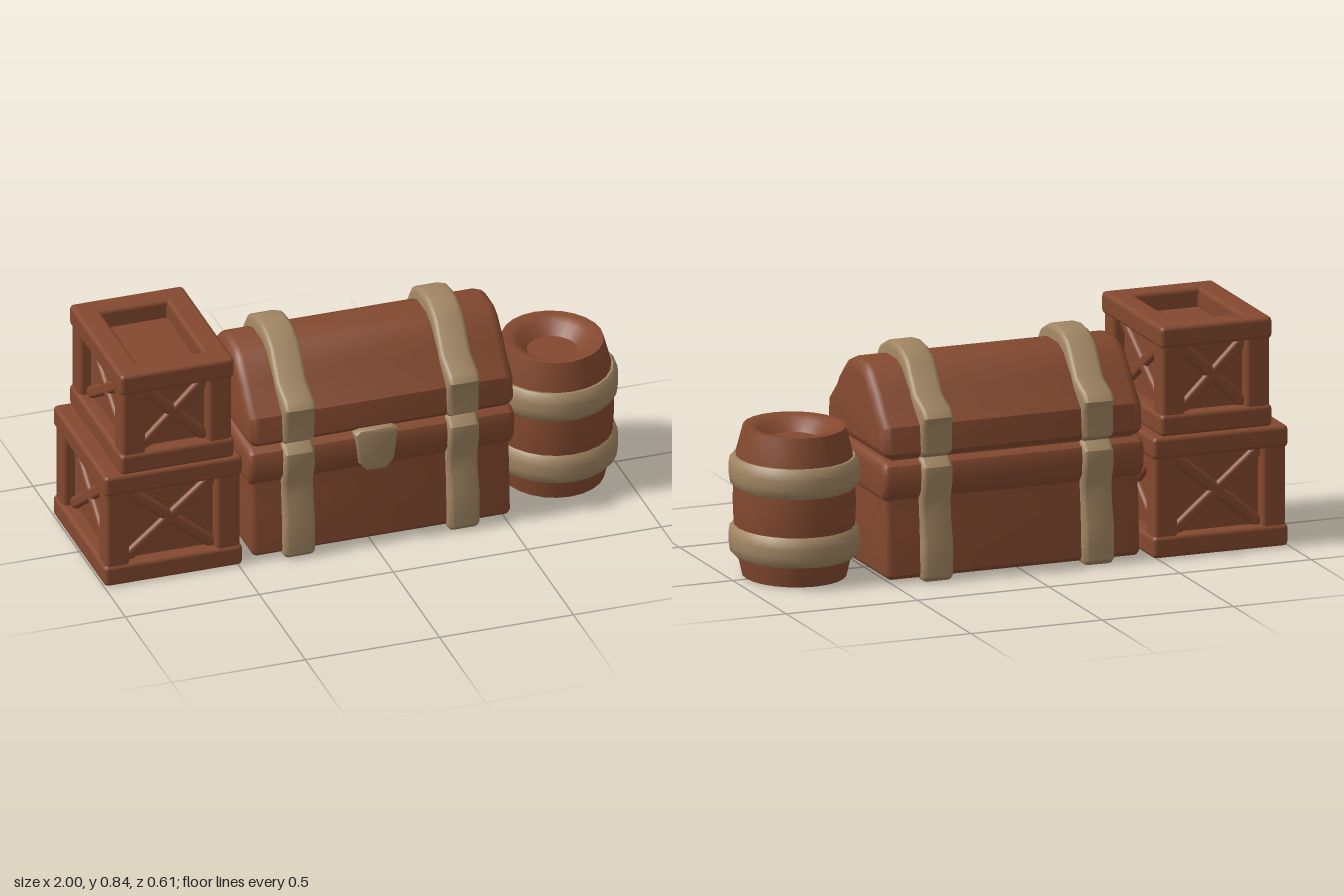
import * as THREE from 'three';
import { toCreasedNormals } from 'three/addons/utils/BufferGeometryUtils.js';
import { RoundedBoxGeometry } from 'three/addons/geometries/RoundedBoxGeometry.js';

const wood = new THREE.MeshStandardMaterial({ color: 0x84492f });
wood.name = 'reddish wood';
const band = new THREE.MeshStandardMaterial({ color: 0xa08562 });
band.name = 'tan band';

function add(parent, name, geometry, material, x = 0, y = 0, z = 0) {
  const mesh = new THREE.Mesh(geometry, material);
  mesh.name = name;
  mesh.position.set(x, y, z);
  parent.add(mesh);
  return mesh;
}

const rounded = (w, h, d, r = 0.016) => new RoundedBoxGeometry(w, h, d, 2, r);

// Sweeps a [z, y] outline along x from x0 to x1, with rounded end edges
function sweep(outline, x0, x1, bevel) {
  const shape = new THREE.Shape(outline.map(([z, y]) => new THREE.Vector2(-z, y)));
  const g = new THREE.ExtrudeGeometry(shape, {
    depth: x1 - x0 - 2 * bevel, bevelThickness: bevel, bevelSize: bevel,
    bevelOffset: -bevel, bevelSegments: 3, steps: 1,
  });
  g.translate(0, 0, x0 + bevel);
  g.rotateY(Math.PI / 2);
  return toCreasedNormals(g, 0.7);
}

// Closes a half outline (front, bottom to top) by mirroring it to the back
const mirrored = (half) => [...half, ...half.filter(([z]) => z > 0).reverse().map(([z, y]) => [-z, y])];

// Framed crate with recessed, cross-braced sides and sunken top and bottom
function makeCrate(name, w, h, d) {
  const crate = new THREE.Group();
  crate.name = name;
  const post = 0.09, rail = 0.08, inset = 0.05;
  add(crate, 'core', new THREE.BoxGeometry(w - 2 * inset, h - 0.14, d - 2 * inset), wood, 0, h / 2, 0);
  for (const sx of [-1, 1]) {
    for (const sz of [-1, 1]) {
      add(crate, 'post', rounded(post, h - 0.04, post), wood,
        sx * (w / 2 - 0.007 - post / 2), h / 2, sz * (d / 2 - 0.007 - post / 2));
    }
  }
  for (const y of [rail / 2, h - rail / 2]) {
    for (const s of [-1, 1]) {
      add(crate, 'longRail', rounded(post, rail, d), wood, s * (w - post) / 2, y, 0);
      add(crate, 'crossRail', rounded(w, rail, post), wood, 0, y, s * (d - post) / 2);
    }
  }
  // Diagonal braces on the four sides
  const brace = (length, angle, turn, x, z) => {
    const m = add(crate, 'brace', rounded(length, 0.045, 0.035, 0.014), wood, x, h / 2, z);
    m.rotation.set(0, turn, angle);
  };
  const ph = h - 2 * rail;
  for (const s of [-1, 1]) {
    for (const a of [-1, 1]) {
      const pw = w - 2 * post, pd = d - 2 * post;
      brace(Math.hypot(pw, ph), a * Math.atan2(ph, pw), 0, 0, s * (d / 2 - inset));
      brace(Math.hypot(pd, ph), a * Math.atan2(ph, pd), Math.PI / 2, s * (w / 2 - inset), 0);
    }
  }
  return crate;
}

function makeChest() {
  const chest = new THREE.Group();
  chest.name = 'chest';
  // Lower box and its thick rim
  add(chest, 'body', sweep(mirrored([[0.255, 0.015], [0.27, 0.03], [0.262, 0.2], [0.25, 0.32], [0.25, 0.38]]),
    -0.445, 0.52, 0.02), wood);
  add(chest, 'rim', sweep(mirrored([[0.25, 0.3], [0.275, 0.335], [0.28, 0.4], [0.27, 0.43], [0.24, 0.445]]),
    -0.46, 0.535, 0.025), wood);
  add(chest, 'seam', new THREE.BoxGeometry(0.92, 0.06, 0.48), wood, 0.037, 0.45, 0);
  // Faceted, domed lid
  add(chest, 'lid', sweep(mirrored([[0.255, 0.455], [0.275, 0.475], [0.265, 0.57], [0.19, 0.64],
    [0.17, 0.67], [0.1, 0.738], [0.05, 0.76]]), -0.457, 0.535, 0.035), wood);
  // Two straps, each with a lower and a lid half
  const lower = mirrored([[0.285, 0.003], [0.302, 0.02], [0.302, 0.15], [0.282, 0.23], [0.28, 0.3],
    [0.298, 0.36], [0.296, 0.42], [0.26, 0.452]]);
  const upper = mirrored([[0.26, 0.45], [0.291, 0.47], [0.294, 0.57], [0.307, 0.6], [0.285, 0.627],
    [0.2, 0.665], [0.125, 0.772], [0.06, 0.804], [0, 0.812]]);
  for (const x of [-0.335, 0.278]) {
    add(chest, 'lowerStrap', sweep(lower, x, x + 0.117, 0.018), band);
    add(chest, 'lidStrap', sweep(upper, x, x + 0.117, 0.018), band);
  }
  // Tapered clasp on the front
  const shape = new THREE.Shape([[-0.06, 0.465], [-0.08, 0.45], [-0.066, 0.335], [-0.035, 0.3],
    [0.035, 0.3], [0.066, 0.335], [0.08, 0.45], [0.06, 0.465]].map(([x, y]) => new THREE.Vector2(x, y)).reverse());
  const clasp = new THREE.ExtrudeGeometry(shape, {
    depth: 0.04, bevelThickness: 0.012, bevelSize: 0.012, bevelOffset: -0.012, bevelSegments: 2,
  });
  add(chest, 'clasp', toCreasedNormals(clasp, 0.7), band, 0.012, 0, 0.24);
  return chest;
}

function makeBarrel() {
  const barrel = new THREE.Group();
  barrel.name = 'barrel';
  const lathe = (points) => toCreasedNormals(
    new THREE.LatheGeometry(points.map(([r, y]) => new THREE.Vector2(r, y)), 24), 0.7);
  // Bulging staves with sunken ends
  add(barrel, 'staves', lathe([[0, 0.05], [0.09, 0.05], [0.125, 0.015], [0.15, 0.003], [0.183, 0.003],
    [0.205, 0.1], [0.214, 0.2], [0.217, 0.27], [0.214, 0.35], [0.205, 0.45], [0.18, 0.545],
    [0.15, 0.545], [0.125, 0.53], [0.09, 0.495], [0, 0.495]]), wood);
  // Two rounded hoops
  for (const y of [0.135, 0.385]) {
    add(barrel, 'hoop', lathe([[0.19, y - 0.055], [0.214, y - 0.055], [0.227, y - 0.04], [0.231, y - 0.015],
      [0.231, y + 0.015], [0.227, y + 0.04], [0.214, y + 0.055], [0.19, y + 0.055]]), band);
  }
  barrel.scale.z = 1.07;
  return barrel;
}

export function createModel() {
  const model = new THREE.Group();
  model.name = 'storageSet';
  const lowerCrate = makeCrate('lowerCrate', 0.515, 0.44, 0.57);
  lowerCrate.position.set(-0.742, 0, -0.006);
  const upperCrate = makeCrate('upperCrate', 0.425, 0.4, 0.565);
  upperCrate.position.set(-0.728, 0.44, -0.003);
  const barrel = makeBarrel();
  barrel.position.set(0.767, 0, -0.003);
  model.add(lowerCrate, upperCrate, makeChest(), barrel);
  return model;
}
